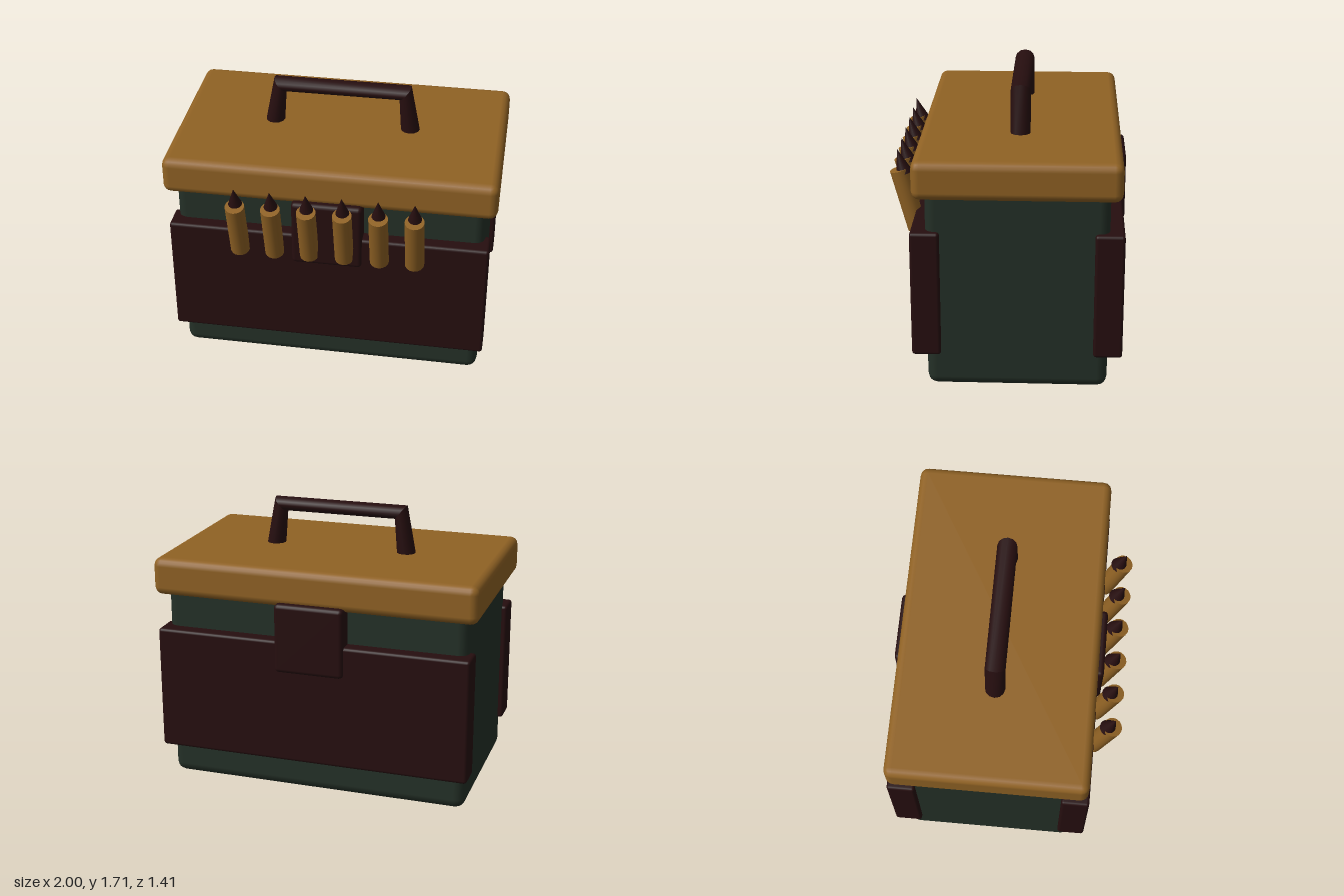
import * as THREE from 'three';
import { RoundedBoxGeometry } from 'three/addons/geometries/RoundedBoxGeometry.js';

const material = (name, color) => {
  const m = new THREE.MeshStandardMaterial({ color });
  m.name = name;
  return m;
};

// One straight, smooth-sided length between two elliptical rings.
// Each ring has a centre (x, y) and a half-width vector (ux, uy) in the xy plane.
function sweptSegment(a, b, halfDepth, z, sides = 12) {
  const positions = [], indices = [];
  for (const r of [a, b]) {
    for (let i = 0; i < sides; i++) {
      const t = (i / sides) * Math.PI * 2;
      const c = Math.cos(t);
      positions.push(r.x + r.ux * c, r.y + r.uy * c, z + halfDepth * Math.sin(t));
    }
  }
  for (let i = 0; i < sides; i++) {
    const j = (i + 1) % sides;
    indices.push(i, i + sides, j, j, i + sides, j + sides);
  }
  const g = new THREE.BufferGeometry();
  g.setAttribute('position', new THREE.Float32BufferAttribute(positions, 3));
  g.setIndex(indices);
  g.computeVertexNormals();
  return g;
}

export function createModel() {
  const model = new THREE.Group();
  model.name = 'ammunitionBox';
  const green = material('dark green', 0x243027);
  const gold = material('brass brown', 0x906224);
  const maroon = material('dark maroon', 0x260e0f);
  const midZ = -0.0625;

  const add = (name, geometry, mat, x = 0, y = 0, z = 0, parent = model) => {
    const mesh = new THREE.Mesh(geometry, mat);
    mesh.name = name;
    mesh.position.set(x, y, z);
    parent.add(mesh);
    return mesh;
  };

  // Box and overhanging lid
  add('body', new RoundedBoxGeometry(1.87, 1.3, 1.06, 2, 0.06), green, 0, 0.65, midZ);
  add('lid', new RoundedBoxGeometry(2, 0.23, 1.195, 2, 0.05), gold, 0, 1.3, midZ);

  // Front and back panels with a latch on each
  for (const [side, s] of [['front', 1], ['back', -1]]) {
    add(side + 'Panel', new RoundedBoxGeometry(1.936, 0.765, 0.17, 2, 0.018),
      maroon, 0, 0.5975, midZ + s * 0.53);
    add(side + 'Latch', new RoundedBoxGeometry(0.425, 0.425, 0.17, 2, 0.025),
      maroon, 0, 1.0025, midZ + s * 0.553);
  }

  // Carrying handle: two tapering legs mitred into a flat bar
  const rings = [
    { x: -0.422, y: 1.39, ux: 0.06, uy: 0 },
    { x: -0.3835, y: 1.6625, ux: 0.0365, uy: -0.0425 },
    { x: 0.3835, y: 1.6625, ux: -0.0365, uy: -0.0425 },
    { x: 0.422, y: 1.39, ux: -0.06, uy: 0 },
  ];
  const handle = new THREE.Group();
  handle.name = 'handle';
  model.add(handle);
  ['rightLeg', 'bar', 'leftLeg'].forEach((name, i) =>
    add(name, sweptSegment(rings[i], rings[i + 1], 0.06, midZ), maroon, 0, 0, 0, handle));

  // Row of leaning cartridges across the front
  const lean = THREE.MathUtils.degToRad(15);
  const caseGeometry = new THREE.CylinderGeometry(0.058, 0.058, 0.383, 16);
  const tipGeometry = new THREE.ConeGeometry(0.05, 0.15, 16);
  for (let i = 0; i < 6; i++) {
    const cartridge = new THREE.Group();
    cartridge.name = 'cartridge' + (i + 1);
    cartridge.position.x = (i - 2.5) * 0.2125;
    model.add(cartridge);
    add('case', caseGeometry, gold, 0, 1.03, 0.6, cartridge).rotation.x = lean;
    add('tip', tipGeometry, maroon, 0, 1.267, 0.64, cartridge).rotation.x = lean;
  }
  return model;
}
